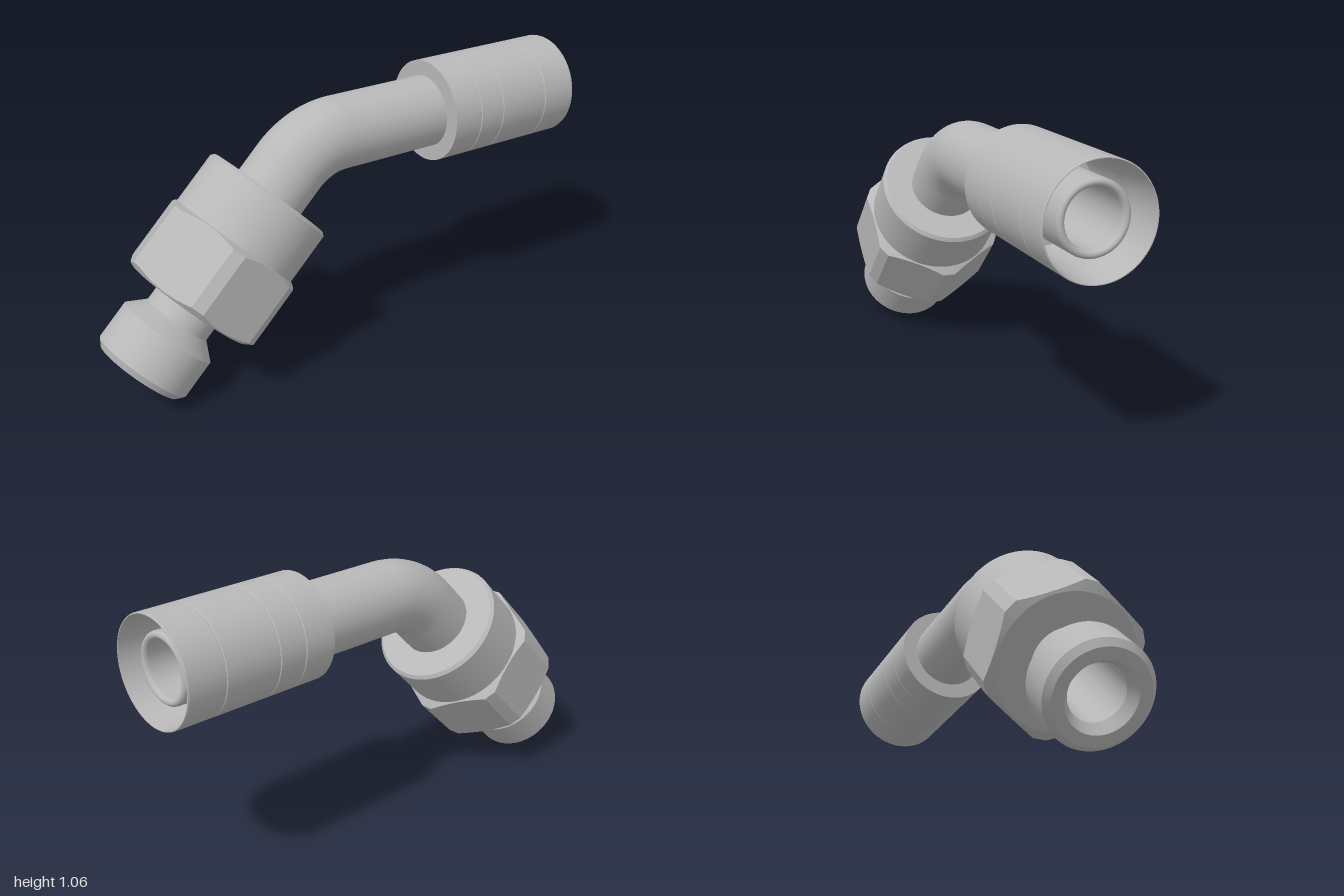
import * as THREE from 'three';
import { mergeGeometries } from 'three/addons/utils/BufferGeometryUtils.js';

const SEG = 72;
const BEND = new THREE.Vector2(-0.146, 0.857); // where the two pipe axes meet
const R_BEND = 0.3;
const TANGENT = R_BEND * Math.tan(Math.PI / 8);

// Turned part from [radius, height] points; every profile corner stays sharp
function turned(profile) {
  const bands = [];
  for (let i = 0; i < profile.length - 1; i++) {
    const pair = [profile[i], profile[i + 1]].map(([r, y]) => new THREE.Vector2(r, y));
    bands.push(new THREE.LatheGeometry(pair, SEG));
  }
  return mergeGeometries(bands);
}

// Straight run, 45 degree bend, straight run, at constant speed
function pipePath(xStart, sEnd) {
  const a = xStart - (BEND.x + TANGENT);
  const b = R_BEND * Math.PI / 4;
  const c = sEnd - TANGENT;
  const path = new THREE.Curve();
  path.getPoint = (t, target = new THREE.Vector3()) => {
    const d = t * (a + b + c);
    const ang = THREE.MathUtils.clamp((d - a) / R_BEND, 0, Math.PI / 4);
    const before = Math.max(0, a - d), after = Math.max(0, d - a - b);
    return target.set(
      BEND.x + TANGENT + before - R_BEND * Math.sin(ang) - after * Math.SQRT1_2,
      BEND.y - R_BEND * (1 - Math.cos(ang)) - after * Math.SQRT1_2, 0);
  };
  return path;
}

// Hexagon with turned corners and chamfered ends, along +y
function hexNut(y0, y1, apothem, corner, faceR, holeR) {
  const edge = Math.acos(apothem / corner);
  const columns = [];
  for (let k = 0; k < 6; k++) {
    for (const f of [-1, -0.8, -0.6, -0.4, -0.2, 0, 0.2, 0.4, 0.6, 0.8, 1]) {
      const r = apothem / Math.cos(f * edge);
      const phi = Math.PI / 6 + k * Math.PI / 3 + f * edge;
      const cut = (r - faceR) * 0.58;
      columns.push([[holeR, y0], [faceR, y0], [r, y0 + cut], [r, y1 - cut], [faceR, y1], [holeR, y1]]
        .map(([q, y]) => [q * Math.cos(phi), y, q * Math.sin(phi)]));
    }
  }
  const pos = [];
  columns.forEach((col, i) => {
    const next = columns[(i + 1) % columns.length];
    for (let j = 0; j < col.length - 1; j++) {
      pos.push(...col[j], ...col[j + 1], ...next[j]);
      pos.push(...next[j], ...col[j + 1], ...next[j + 1]);
    }
  });
  const geo = new THREE.BufferGeometry();
  geo.setAttribute('position', new THREE.Float32BufferAttribute(pos, 3));
  geo.computeVertexNormals();
  return geo;
}

export function createModel() {
  const model = new THREE.Group();
  model.name = 'hoseFitting';
  const steel = new THREE.MeshStandardMaterial({ color: 0xb8b8b8, side: THREE.DoubleSide });
  steel.name = 'steel grey';
  const add = (parent, name, geo) => {
    const mesh = new THREE.Mesh(geo, steel);
    mesh.name = name;
    parent.add(mesh);
  };

  // Bent pipe and the bore that runs right through
  add(model, 'bentPipe', new THREE.TubeGeometry(pipePath(0.6, 0.3), 120, 0.14, 48));
  add(model, 'bore', new THREE.TubeGeometry(pipePath(0.945, 1.0), 160, 0.1, 48));

  // Threaded end, slanting down to the left
  const connector = new THREE.Group();
  connector.name = 'connector';
  connector.position.set(BEND.x, BEND.y, 0);
  connector.rotation.z = Math.PI * 0.75;
  model.add(connector);
  add(connector, 'collar', turned([[0.13, 0.245], [0.243, 0.245], [0.255, 0.257], [0.255, 0.465], [0.2, 0.465]]));
  add(connector, 'hexNut', hexNut(0.457, 0.742, 0.26, 0.287, 0.25, 0.12));
  add(connector, 'spigot', turned([
    [0.13, 0.73], [0.13, 0.813], [0.19, 0.87], [0.19, 1.02], [0.168, 1.045], [0.125, 1.045], [0.1, 1.0],
  ]));

  // Crimp sleeve and inner nipple, pointing right
  const socket = new THREE.Group();
  socket.name = 'hoseSocket';
  socket.position.y = BEND.y;
  socket.rotation.z = -Math.PI / 2;
  model.add(socket);
  add(socket, 'sleeve', turned([
    [0.13, 0.395], [0.2, 0.395], [0.2, 0.517], [0.197, 0.52], [0.2, 0.523], [0.2, 0.627], [0.197, 0.63],
    [0.2, 0.633], [0.2, 0.847], [0.197, 0.85], [0.2, 0.853], [0.2, 0.995], [0.198, 1.0], [0.195, 1.0],
    [0.18, 0.85], [0.18, 0.6], [0.12, 0.6],
  ]));
  const lip = [new THREE.Vector2(0.128, 0.6), new THREE.Vector2(0.128, 0.9)];
  for (let i = 0; i <= 10; i++) {
    const a = i / 10 * Math.PI;
    lip.push(new THREE.Vector2(0.114 + 0.014 * Math.cos(a), 0.945 + 0.016 * Math.sin(a)));
  }
  add(socket, 'nipple', new THREE.LatheGeometry(lip, SEG));

  return model;
}
